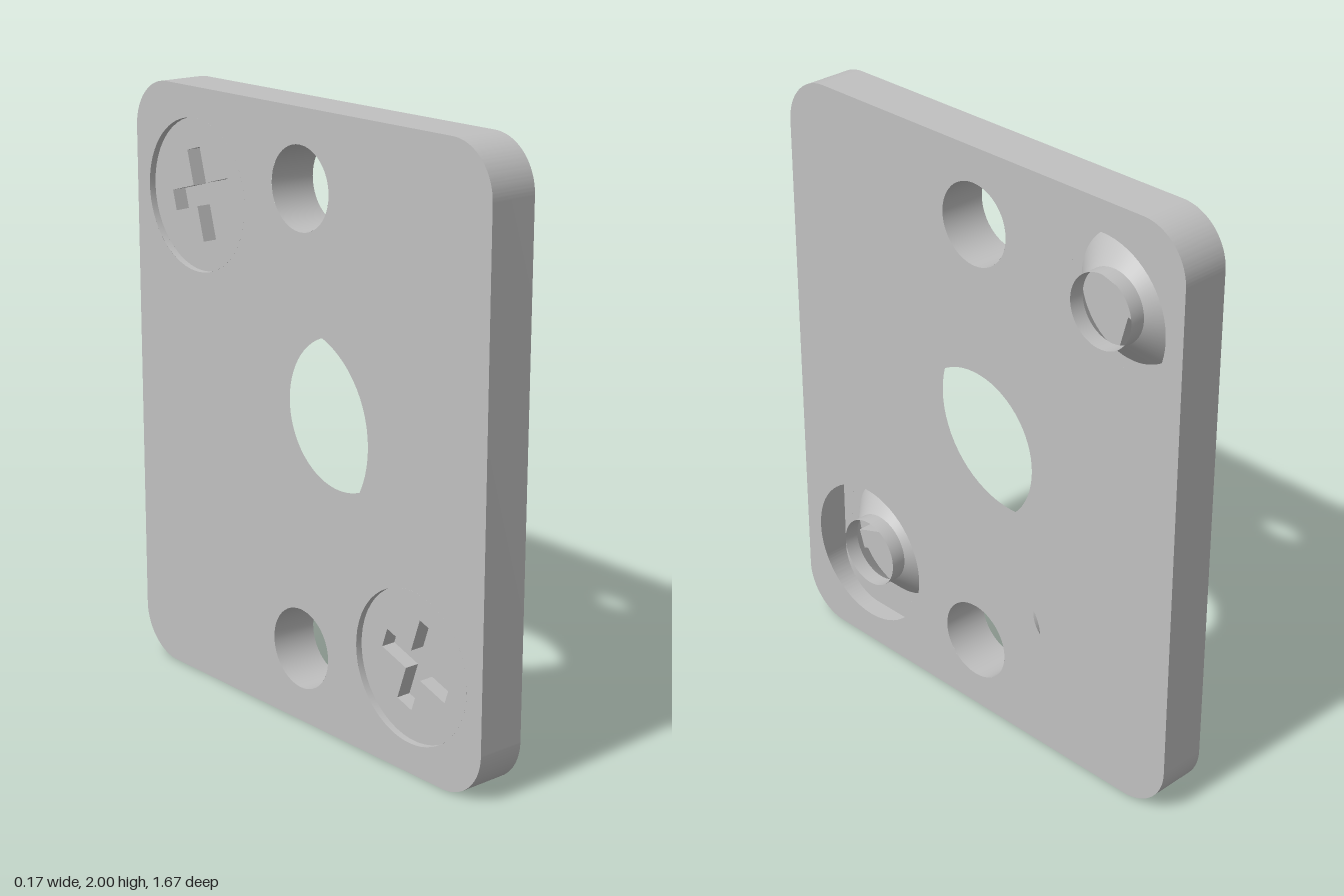
import * as THREE from 'three';
import { toCreasedNormals } from 'three/addons/utils/BufferGeometryUtils.js';

const W = 0.835, H = 2, T = 0.0825, CORNER = 0.165; // half width, height, half thickness
const HEAD = -0.06, POCKET = -0.01;                 // depth of screw head face and of its slot

const metal = new THREE.MeshStandardMaterial({ color: 0xc0c0c0, side: THREE.DoubleSide });
metal.name = 'light grey metal';

function add(parent, name, geometry) {
  const mesh = new THREE.Mesh(geometry, metal);
  mesh.name = name;
  parent.add(mesh);
}

function circle(u, v, r, Type = THREE.Shape) {
  return new Type().absarc(u, v, r, 0, Math.PI * 2, false);
}

// Flat sheet at depth w; back sheets are turned round to face the other way
function sheet(shape, w, back) {
  const g = new THREE.ShapeGeometry(shape, 32);
  if (back) g.rotateY(Math.PI);
  return g.translate(0, 0, w);
}

// Wall that follows a closed outline from depth w0 to w1
function wall(shape, w0, w1, inward) {
  const pts = shape.getPoints(24);
  if (!pts[0].equals(pts[pts.length - 1])) pts.push(pts[0].clone());
  if (inward) pts.reverse();
  const g = new THREE.PlaneGeometry(1, 1, pts.length - 1, 1);
  pts.forEach((p, i) => {
    g.attributes.position.setXYZ(i, p.x, p.y, w1);
    g.attributes.position.setXYZ(i + pts.length, p.x, p.y, w0);
  });
  return toCreasedNormals(g, 0.5);
}

function plateOutline() {
  const s = new THREE.Shape(), c = CORNER, q = Math.PI / 2;
  s.moveTo(-W + c, 0);
  s.lineTo(W - c, 0);
  s.absarc(W - c, c, c, -q, 0, false);
  s.lineTo(W, H - c);
  s.absarc(W - c, H - c, c, 0, q, false);
  s.lineTo(-W + c, H);
  s.absarc(-W + c, H - c, c, q, 2 * q, false);
  s.lineTo(-W, c);
  s.absarc(-W + c, c, c, 2 * q, 3 * q, false);
  return s;
}

function crossOutline(Type) {
  const a = 0.034, b = 0.15;
  return new Type([[a, -b], [a, -a], [b, -a], [b, a], [a, a], [a, b],
    [-a, b], [-a, a], [-b, a], [-b, -a], [-a, -a], [-a, -b]]
    .map(([x, y]) => new THREE.Vector2(x, y)));
}

// Countersunk screw with a hollow shank and a cross slot in its head
function screw(u, v, turn) {
  const g = new THREE.Group();
  g.name = 'screw';
  g.position.set(u, v, 0);
  g.rotation.z = turn;
  add(g, 'recessWall', wall(circle(0, 0, 0.25), -T, HEAD, true));
  const face = circle(0, 0, 0.25);
  face.holes.push(crossOutline(THREE.Path));
  add(g, 'headFace', sheet(face, HEAD, true));
  add(g, 'slotWalls', wall(crossOutline(THREE.Shape), HEAD, POCKET, true));
  add(g, 'slotFloor', sheet(crossOutline(THREE.Shape), POCKET, true));
  const profile = [[0.21, HEAD], [0.12, 0.03], [0.12, T]].map(([r, w]) => new THREE.Vector2(r, w));
  add(g, 'coneAndShank', toCreasedNormals(new THREE.LatheGeometry(profile, 64).rotateX(Math.PI / 2), 0.5));
  return g;
}

export function createModel() {
  const model = new THREE.Group();
  model.name = 'mountingPlate';
  const body = new THREE.Group();
  body.name = 'plateBody';
  body.rotation.y = Math.PI / 2;
  model.add(body);

  const screws = [[0.52, 1.65, -0.27], [-0.52, 0.35, 0.33]];
  const through = [[0, 1.75, 0.135], [0, 0.25, 0.135]];
  const pins = [[-0.35, 1.52, 0.085], [0.35, 0.485, 0.085]];
  const recesses = screws.map(([u, v]) => [u, v, 0.25]);

  // Hollow shell: two pierced faces and the outer edge
  const front = plateOutline(), back = plateOutline();
  for (const [u, v, r] of [[0, 1, 0.252], ...through, ...pins, ...recesses])
    front.holes.push(circle(u, v, r, THREE.Path));
  for (const [u, v, r] of [[0, 1, 0.32], ...through, ...recesses])
    back.holes.push(circle(-u, v, r, THREE.Path));
  add(body, 'openFace', sheet(front, T, false));
  add(body, 'screwHeadFace', sheet(back, -T, true));
  add(body, 'outerEdge', wall(plateOutline(), -T, T, false));

  // Lined through holes at top and bottom
  for (const [u, v, r] of through) add(body, 'throughHole', wall(circle(u, v, r), -T, T, true));
  for (const s of screws) body.add(screw(...s));
  return model;
}
